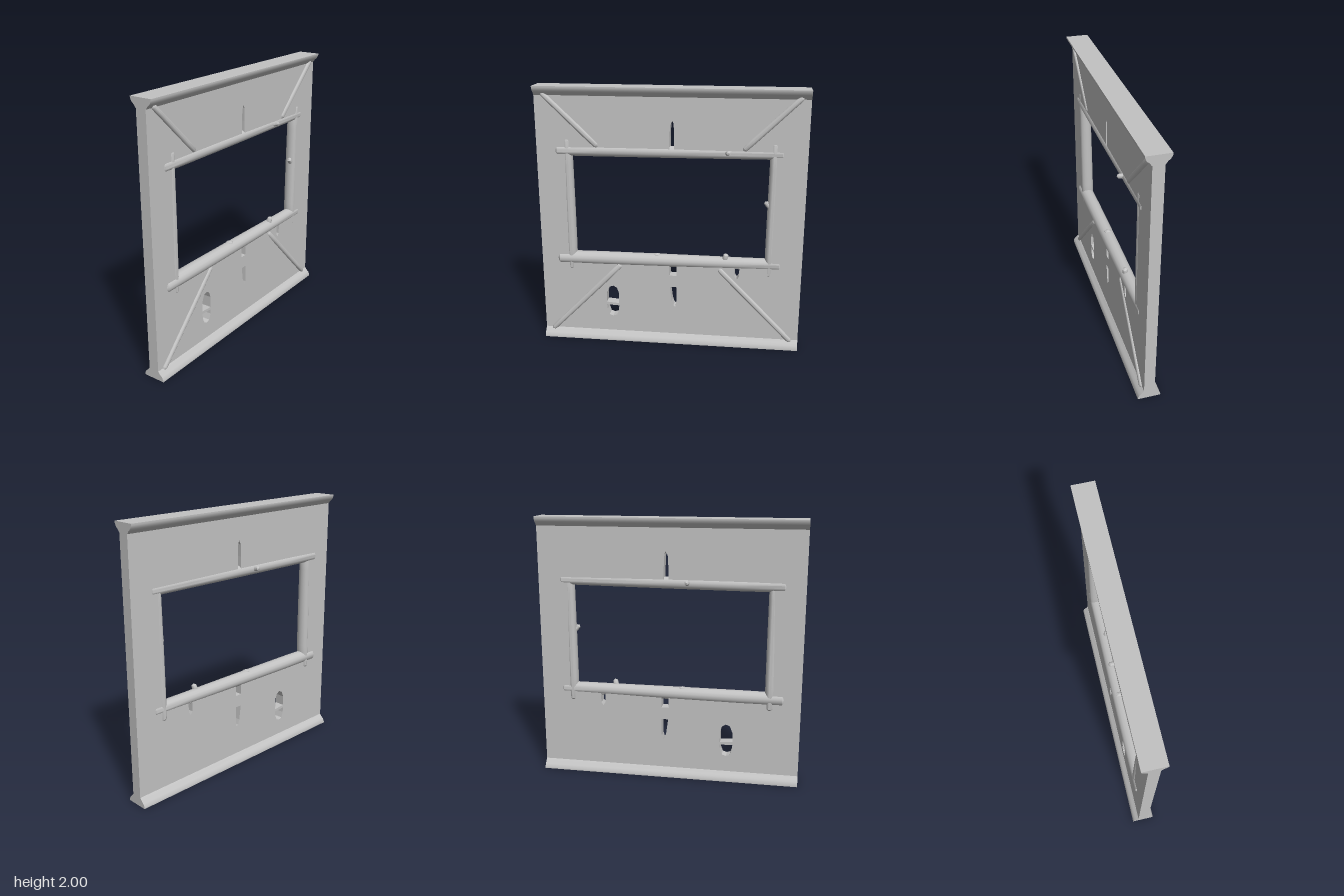
import * as THREE from 'three';
import { toCreasedNormals } from 'three/addons/utils/BufferGeometryUtils.js';

const V = (x, y, z) => new THREE.Vector3(x, y, z);

export function createModel() {
  const group = new THREE.Group();
  const plaster = new THREE.MeshStandardMaterial({ color: 0xc2c2c2 });
  plaster.name = 'pale grey';

  function add(name, geometry) {
    const mesh = new THREE.Mesh(geometry, plaster);
    mesh.name = name;
    group.add(mesh);
    return mesh;
  }

  // Log with blunt pointed ends; depth stretches it through the wall (x)
  function log(name, from, to, r0, r1, tip = 0.035, depth = 1) {
    const dir = to.clone().sub(from);
    const len = dir.length();
    const mid = (r0 + r1) / 2;
    const profile = [
      [0, 0], [r0 * 0.45, 0.006], [r0 * 0.97, tip], [r0, len * 0.2],
      [mid * 1.02, len * 0.5], [r1, len * 0.8], [r1 * 0.97, len - tip],
      [r1 * 0.45, len - 0.006], [0, len],
    ].map(([r, y]) => new THREE.Vector2(r, y));
    const geometry = toCreasedNormals(new THREE.LatheGeometry(profile, 14).scale(depth, 1, 1), 0.6);
    const mesh = add(name, geometry);
    mesh.position.copy(from);
    mesh.quaternion.setFromUnitVectors(V(0, 1, 0), dir.normalize());
    return mesh;
  }

  const path = (points) => new THREE.Path(points.map(([z, y]) => new THREE.Vector2(z, y)));

  // Wall panel, drawn in (z, y), with the window and the small gaps cut through
  const wall = new THREE.Shape([[-1, 0.07], [1, 0.07], [1, 1.93], [-1, 1.93]]
    .map(([z, y]) => new THREE.Vector2(z, y)));
  wall.holes.push(
    path([[-0.765, 0.67], [-0.765, 1.525], [0.765, 1.525], [0.765, 0.67]]),
    path([[-0.035, 1.545], [-0.035, 1.64], [-0.03, 1.74], [-0.02, 1.76], [-0.005, 1.73], [0, 1.64], [0, 1.545]]),
    path([[-0.055, 0.56], [-0.055, 0.645], [0, 0.645], [0, 0.56]]),
    path([[-0.045, 0.3], [-0.053, 0.33], [-0.055, 0.465], [-0.003, 0.465], [-0.018, 0.35], [-0.032, 0.31]]),
    path([[-0.515, 0.55], [-0.532, 0.575], [-0.535, 0.645], [-0.498, 0.645], [-0.5, 0.575]]),
    path([[0.4, 0.305], [0.4, 0.39], [0.415, 0.435], [0.445, 0.452], [0.475, 0.44], [0.495, 0.39], [0.498, 0.312]]),
    path([[0.4, 0.285], [0.498, 0.29], [0.493, 0.25], [0.478, 0.205], [0.45, 0.195], [0.418, 0.205], [0.402, 0.25]]),
  );
  const panel = new THREE.ExtrudeGeometry(wall, { depth: 0.08, bevelEnabled: false });
  add('wallPanel', panel.translate(0, 0, -0.04).rotateY(-Math.PI / 2));

  // Flared rails along the bottom and top edges
  const half = [[0.085, 0], [0.085, 0.012], [0.073, 0.036], [0.056, 0.05], [0.043, 0.068], [0.04, 0.07]];
  for (const top of [false, true]) {
    const outline = [...half, ...half.map(([x, y]) => [-x, y]).reverse()]
      .map(([x, y]) => new THREE.Vector2(x, top ? 2 - y : y));
    const rail = new THREE.ExtrudeGeometry(new THREE.Shape(outline), { depth: 2, bevelEnabled: false });
    add(top ? 'topRail' : 'bottomRail', toCreasedNormals(rail.translate(0, 0, -1), 0.5));
  }

  // Window frame logs
  log('lintelLog', V(0, 1.53, -0.855), V(0, 1.52, 0.88), 0.043, 0.046, 0.035, 1.12);
  log('sillLog', V(0, 0.675, -0.865), V(0, 0.665, 0.895), 0.046, 0.052, 0.035, 1.06);
  log('leftPost', V(-0.003, 0.555, 0.768), V(0.003, 1.638, 0.768), 0.038, 0.034, 0.04, 1.3);
  log('rightPost', V(-0.003, 0.555, -0.757), V(0.003, 1.638, -0.765), 0.036, 0.034, 0.04, 1.3);

  // Diagonal braces on one face, sinking into the wall towards the window
  for (const s of [1, -1]) {
    log('upperBrace', V(0.038, 1.955, s * 0.95), V(0.027, 1.55, s * 0.53), 0.021, 0.024, 0.025);
    log('lowerBrace', V(0.038, 0.05, s * 0.95), V(0.027, 0.64, s * 0.37), 0.021, 0.024, 0.025);
  }

  // Short branch stubs on the logs
  const stubs = [
    [V(0.03, 1.53, -0.42), V(0.086, 1.545, -0.435), 0.018],
    [V(-0.03, 1.525, 0.14), V(-0.09, 1.54, 0.14), 0.018],
    [V(0.01, 0.69, -0.42), V(0.02, 0.755, -0.432), 0.022],
    [V(0, 0.68, 0.1), V(0, 0.728, 0.1), 0.03],
    [V(0.01, 1.13, -0.745), V(0.015, 1.175, -0.705), 0.02],
  ];
  for (const [from, to, r] of stubs) log('branchStub', from, to, r, r * 0.85, 0.012);

  return group;
}
